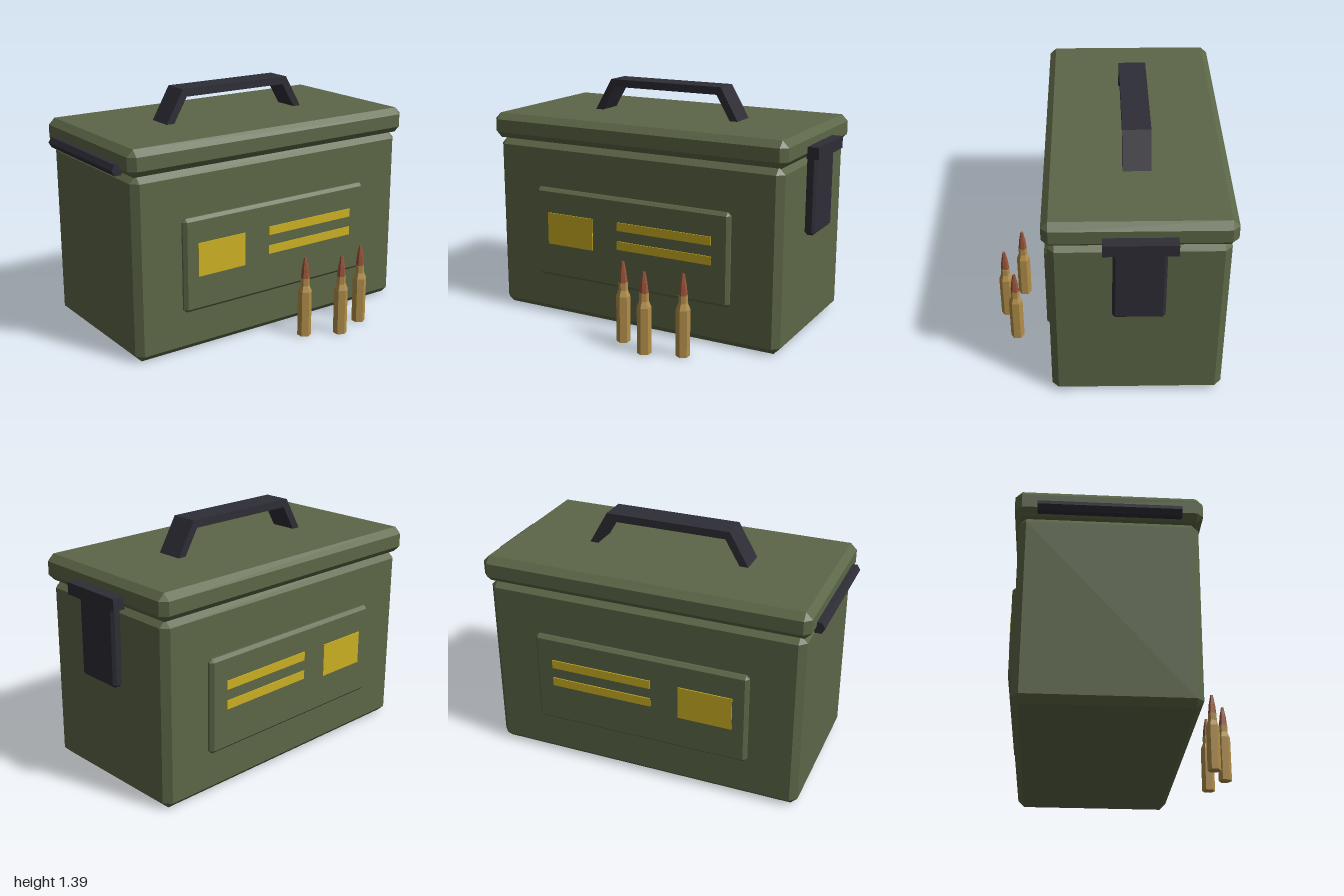
import * as THREE from 'three';
import { ConvexGeometry } from 'three/addons/geometries/ConvexGeometry.js';

const material = (name, color) => {
  const m = new THREE.MeshStandardMaterial({ color });
  m.name = name;
  return m;
};

// Box with chamfered edges, given by its minimum and maximum corners
function chamferBox([x0, y0, z0], [x1, y1, z1], b) {
  const h = [(x1 - x0) / 2, (y1 - y0) / 2, (z1 - z0) / 2];
  const points = [];
  for (const sx of [-1, 1]) for (const sy of [-1, 1]) for (const sz of [-1, 1])
    for (let axis = 0; axis < 3; axis++) {
      const [x, y, z] = h.map((v, i) => (i === axis ? v : v - b));
      points.push(new THREE.Vector3(sx * x, sy * y, sz * z));
    }
  return new ConvexGeometry(points).translate((x0 + x1) / 2, (y0 + y1) / 2, (z0 + z1) / 2);
}

function box([x0, y0, z0], [x1, y1, z1]) {
  return new THREE.BoxGeometry(x1 - x0, y1 - y0, z1 - z0)
    .translate((x0 + x1) / 2, (y0 + y1) / 2, (z0 + z1) / 2);
}

// Faceted six-sided turned shape from [radius, height] pairs
function hexLathe(profile) {
  const points = profile.map(([r, y]) => new THREE.Vector2(r, y));
  const g = new THREE.LatheGeometry(points, 6, Math.PI / 6).toNonIndexed();
  g.computeVertexNormals();
  return g;
}

export function createModel() {
  const green = material('olive paint', 0x5c6647);
  const dark = material('dark metal', 0x2e2d36);
  const yellow = material('yellow marking', 0xccb022);
  const brass = material('brass', 0xb28e4a);
  const copper = material('copper', 0x99543a);

  const model = new THREE.Group();
  model.name = 'ammunitionBox';
  const add = (name, geometry, mat, parent = model) => {
    const mesh = new THREE.Mesh(geometry, mat);
    mesh.name = name;
    parent.add(mesh);
    return mesh;
  };
  const cx = -0.15; // centre line of the box

  // Body and lid
  add('body', chamferBox([-0.625, 0, -0.91], [0.325, 1.05, 0.93], 0.038), green);
  add('lid', chamferBox([-0.65, 1.05, -0.935], [0.35, 1.2, 0.955], 0.037), green);

  // Raised side panels with painted markings, the same on both sides
  for (const [side, s] of [['left', 1], ['right', -1]]) {
    const span = (a, b) => [cx + s * a, cx + s * b].sort((p, q) => p - q);
    const [p0, p1] = span(0.445, 0.505);
    add(side + 'Panel', chamferBox([p0, 0.24, -0.622], [p1, 0.78, 0.645], 0.018), green);
    const [m0, m1] = span(0.503, 0.511);
    add(side + 'Label', box([m0, 0.443, 0.25], [m1, 0.635, 0.56]), yellow);
    for (const y of [0.475, 0.588])
      add(side + 'Stripe', box([m0, y, -0.515], [m1, y + 0.05, 0.085]), yellow);
  }

  // Carrying handle: bent strip extruded across the lid
  const outline = [[0.475, 1.2], [0.365, 1.39], [-0.365, 1.39], [-0.475, 1.2],
    [-0.425, 1.2], [-0.34, 1.345], [0.34, 1.345], [0.425, 1.2]];
  const handleShape = new THREE.Shape(outline.map(([z, y]) => new THREE.Vector2(z, y)));
  const handle = new THREE.ExtrudeGeometry(handleShape, { depth: 0.155, bevelEnabled: false })
    .translate(0, 0, -0.0775).rotateY(-Math.PI / 2).translate(cx, 0, 0.01);
  add('handle', handle, dark);

  // Hexagonal hinge rod at the front
  const rod = hexLathe([[0, -0.38], [0.035, -0.38], [0.035, 0.38], [0, 0.38]])
    .rotateY(Math.PI / 2).rotateZ(Math.PI / 2).translate(cx, 1.08, 0.965);
  add('hingeRod', rod, dark);

  // Latch at the back
  add('latchBracket', box([-0.343, 1.055, -1], [0.043, 1.123, -0.93]), dark);
  add('latchPlate', chamferBox([-0.29, 0.61, -0.97], [-0.01, 1.1, -0.91], 0.015), dark);

  // Loose cartridges standing beside the box
  const caseGeometry = hexLathe([[0, 0], [0.04, 0], [0.04, 0.27], [0.026, 0.305], [0.026, 0.35], [0, 0.35]]);
  const tipGeometry = hexLathe([[0, 0.35], [0.025, 0.35], [0.019, 0.41], [0.008, 0.47], [0, 0.47]]);
  for (const [x, z] of [[0.545, -0.445], [0.615, -0.242], [0.52, -0.053]]) {
    const cartridge = new THREE.Group();
    cartridge.name = 'cartridge';
    cartridge.position.set(x, 0, z);
    add('cartridgeCase', caseGeometry, brass, cartridge);
    add('cartridgeTip', tipGeometry, copper, cartridge);
    model.add(cartridge);
  }
  return model;
}
